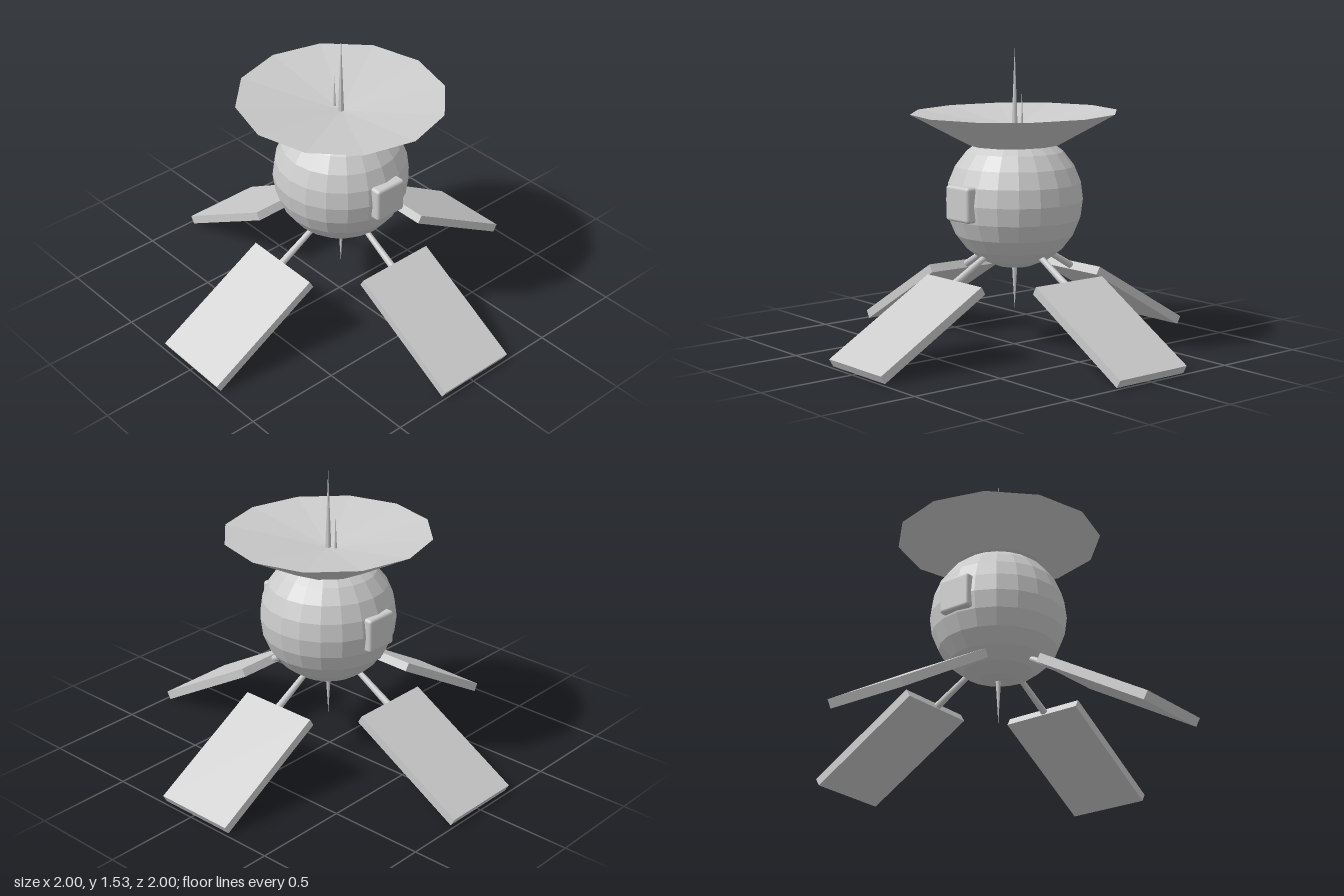
import * as THREE from 'three';
import { RoundedBoxGeometry } from 'three/addons/geometries/RoundedBoxGeometry.js';

const flat = new THREE.MeshStandardMaterial({ color: 0xcccccc, flatShading: true });
const smooth = new THREE.MeshStandardMaterial({ color: 0xcccccc });

function add(parent, name, geometry, position, material = flat) {
  const mesh = new THREE.Mesh(geometry, material);
  mesh.name = name;
  mesh.position.set(...position);
  parent.add(mesh);
  return mesh;
}

// Tapered needle standing between two heights
function needle(parent, name, radius, base, tip, x, z) {
  const mesh = add(parent, name, new THREE.ConeGeometry(radius, Math.abs(tip - base), 8),
    [x, (base + tip) / 2, z]);
  if (tip < base) mesh.rotation.x = Math.PI;
  return mesh;
}

// Strut and solar panel sloping down along the group's +z
function solarArm(name, angle, offset) {
  const arm = new THREE.Group();
  arm.name = name;
  arm.rotation.y = angle;
  const slope = Math.PI / 6;
  const heightAt = (z) => 0.195 + (0.69 - z) * Math.tan(slope);
  const panel = add(arm, 'solarPanel', new THREE.BoxGeometry(0.435, 0.045, 0.69),
    [offset, heightAt(0.69), 0.69]);
  panel.rotation.x = slope;
  const strut = add(arm, 'strut', new THREE.CylinderGeometry(0.019, 0.014, 0.32, 10),
    [0.008, heightAt(0.28), 0.28], smooth);
  strut.rotation.x = Math.PI / 2 + slope;
  return arm;
}

export function createModel() {
  const model = new THREE.Group();
  model.name = 'satellite';

  // Spherical body
  add(model, 'body', new THREE.SphereGeometry(0.348, 20, 12), [0.007, 0.755, 0.003]);

  // Rounded boxes on the front and back of the body
  const hatch = new RoundedBoxGeometry(0.178, 0.178, 0.09, 3, 0.016);
  add(model, 'frontHatch', hatch, [0.008, 0.763, 0.333], smooth);
  add(model, 'backHatch', hatch, [0.008, 0.763, -0.315], smooth);

  // Twelve-sided dish with a shallow hollow, tilted very slightly
  const profile = [[0, 0], [0.23, 0], [0.528, 0.162], [0, 0.08]]
    .map(([r, y]) => new THREE.Vector2(r, y));
  const dish = add(model, 'dish', new THREE.LatheGeometry(profile, 12), [0.007, 1.036, 0.003]);
  dish.rotation.x = 0.012;

  // Antennas above and below
  needle(model, 'mainAntenna', 0.016, 1.1, 1.53, 0.007, 0.003);
  needle(model, 'smallAntenna', 0.008, 1.11, 1.3, 0.006, -0.045);
  needle(model, 'lowerAntenna', 0.014, 0.42, 0.185, 0.007, 0.003);

  // Four panels around the body
  model.add(solarArm('frontArm', 0, 0.02));
  model.add(solarArm('leftArm', Math.PI / 2, 0.02));
  model.add(solarArm('backArm', Math.PI, 0.01));
  model.add(solarArm('rightArm', -Math.PI / 2 - 0.018, 0.025));

  return model;
}
